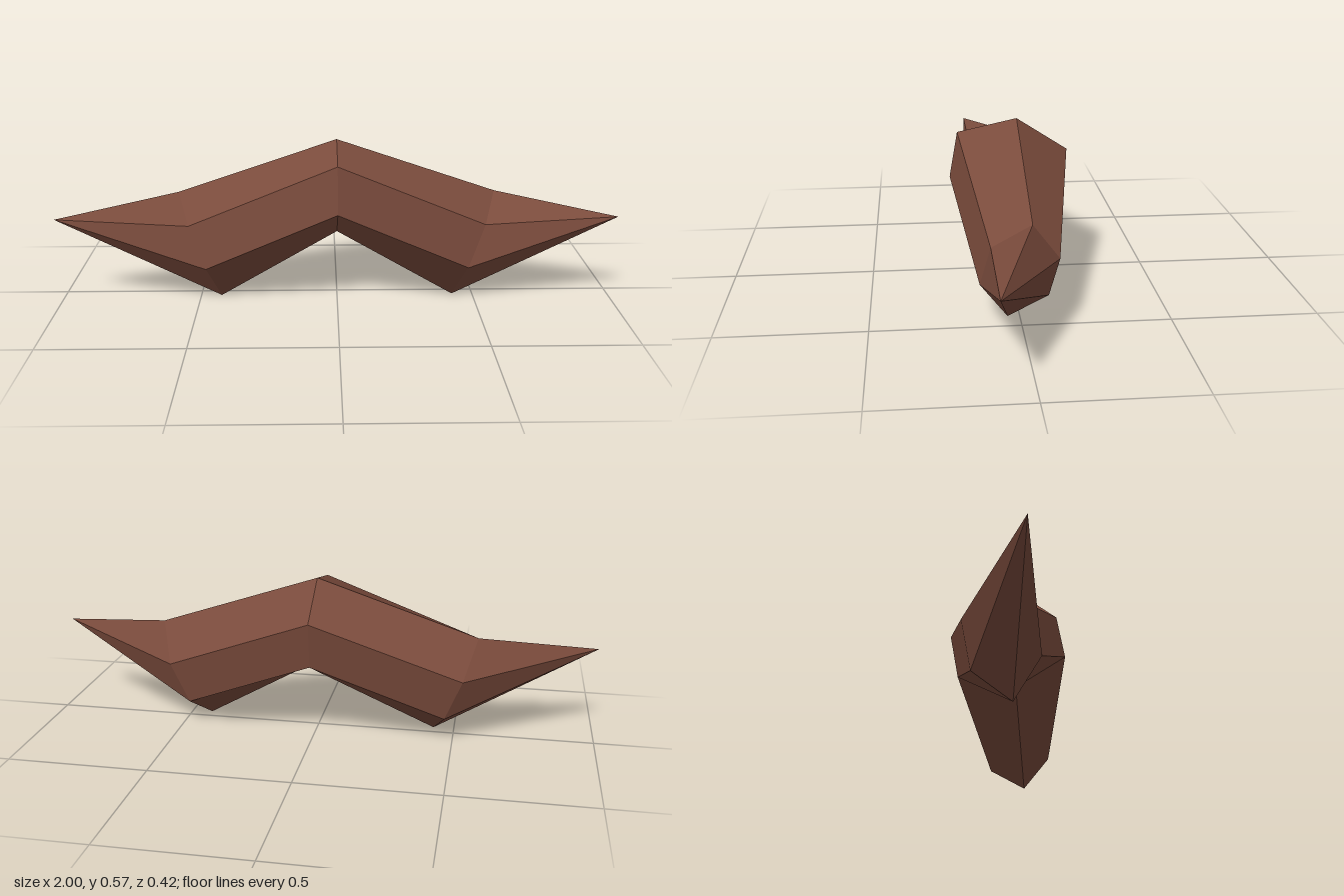
import * as THREE from 'three';

// Six-sided sections as [x, y, z], from the upper front edge round over the top to the back
const middle = [[0, 0.527, 0.183], [0, 0.573, -0.03], [0, 0.455, -0.212], [0, 0.29, -0.183], [0, 0.244, 0.03], [0, 0.362, 0.212]];
const bend = [[0.53, 0.29, 0.104], [0.575, 0.38, -0.024], [0.53, 0.245, -0.119], [0.47, 0.092, -0.092], [0.425, 0.001, 0.041], [0.47, 0.138, 0.136]];
const tip = [1, 0.32, 0.112];

// One half, from the middle section to the pointed tip; side is +1 or -1
function halfGeometry(side) {
  const points = [], normals = [];
  const mirror = (p) => new THREE.Vector3(p[0] * side, p[1], p[2]);

  // A facet of three or four corners, shaded as one flat plane even when slightly twisted
  const facet = (...corners) => {
    const c = corners.map(mirror);
    if (side < 0) c.reverse();
    const last = c[c.length - 1];
    const normal = c[2].clone().sub(c[0]).cross(last.clone().sub(c[1])).normalize();
    if (c.length === 3) normal.crossVectors(c[1].clone().sub(c[0]), c[2].clone().sub(c[0])).normalize();
    const order = c.length === 3 ? [0, 1, 2] : [0, 1, 3, 1, 2, 3];
    for (const k of order) {
      points.push(...c[k].toArray());
      normals.push(...normal.toArray());
    }
  };

  for (let i = 0; i < 6; i++) {
    const j = (i + 1) % 6;
    facet(middle[i], bend[i], bend[j], middle[j]);
    facet(bend[i], tip, bend[j]);
  }
  const geometry = new THREE.BufferGeometry();
  geometry.setAttribute('position', new THREE.Float32BufferAttribute(points, 3));
  geometry.setAttribute('normal', new THREE.Float32BufferAttribute(normals, 3));
  return geometry;
}

export function createModel() {
  const brown = new THREE.MeshStandardMaterial({ color: 0x7a4b3c });
  brown.name = 'brown hair';
  const group = new THREE.Group();
  group.name = 'moustache';
  for (const side of [1, -1]) {
    const half = new THREE.Mesh(halfGeometry(side), brown);
    half.name = side > 0 ? 'leftHalf' : 'rightHalf';
    group.add(half);
  }
  return group;
}
